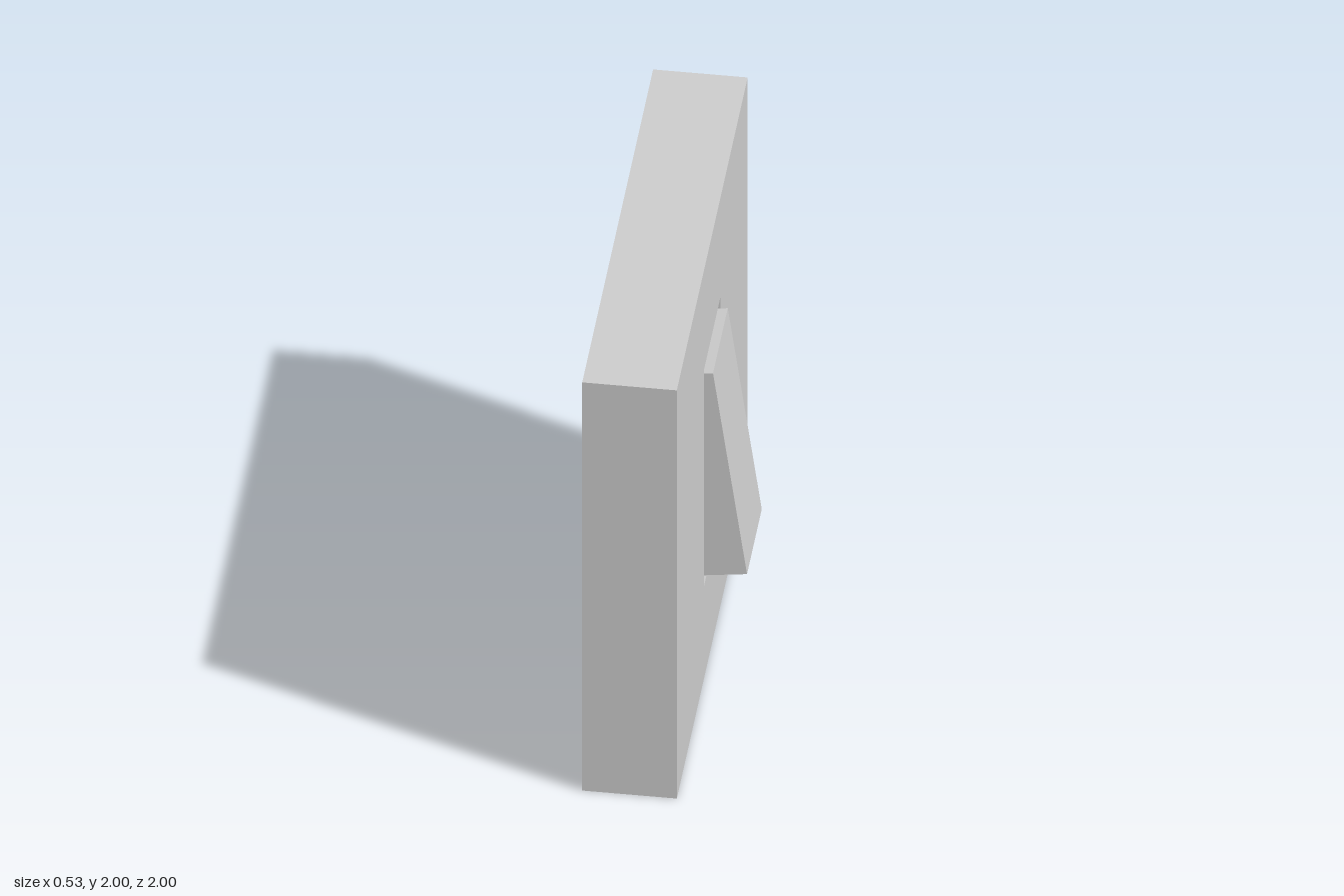
import * as THREE from 'three';
import { mergeGeometries } from 'three/addons/utils/BufferGeometryUtils.js';

const FRONT = 0.1, BACK = -0.27;

// Box whose side profile [x, y] runs: back bottom, back top, front bottom, front top
function profileBox([bb, bt, fb, ft], halfWidth, { open = false, inward = false } = {}) {
  const g = new THREE.BoxGeometry(1, 1, 1);
  const p = g.attributes.position;
  for (let i = 0; i < p.count; i++) {
    const up = p.getY(i) > 0;
    const [x, y] = p.getX(i) > 0 ? (up ? ft : fb) : (up ? bt : bb);
    p.setXYZ(i, x, y, Math.sign(p.getZ(i)) * halfWidth);
  }
  let index = Array.from(g.index.array);
  if (open) index = index.slice(6); // leave out the +x face
  if (inward) index.reverse();
  g.setIndex(index);
  const flat = g.toNonIndexed();
  flat.computeVertexNormals();
  return flat;
}

function rectangle(path, halfWidth, bottom, top) {
  path.moveTo(-halfWidth, bottom);
  path.lineTo(halfWidth, bottom);
  path.lineTo(halfWidth, top);
  path.lineTo(-halfWidth, top);
  path.closePath();
  return path;
}

export function createModel() {
  const group = new THREE.Group();
  const material = new THREE.MeshStandardMaterial({ color: 0xcccccc, flatShading: true });
  const add = (name, geometry) => {
    const mesh = new THREE.Mesh(geometry, material);
    mesh.name = name;
    group.add(mesh);
  };

  // Wall plate: open box, pierced front face and tilted recess
  const shell = profileBox([[BACK, 0], [BACK, 2], [FRONT, 0], [FRONT, 2]], 1, { open: true });
  const faceShape = rectangle(new THREE.Shape(), 1, 0, 2);
  faceShape.holes.push(rectangle(new THREE.Path(), 0.226, 0.451, 1.513));
  const face = new THREE.ShapeGeometry(faceShape).toNonIndexed();
  face.rotateY(Math.PI / 2).translate(FRONT, 0, 0);
  const recess = profileBox(
    [[0.07, 0.447], [-0.075, 1.489], [FRONT, 0.451], [FRONT, 1.513]],
    0.226, { open: true, inward: true });
  add('wallPlate', mergeGeometries([shell, face, recess]));

  // Tilted rocker resting on the recess floor
  add('rockerSwitch', profileBox(
    [[0.066, 0.482], [-0.07, 1.452], [0.265, 0.51], [0.132, 1.48]], 0.208));

  return group;
}
